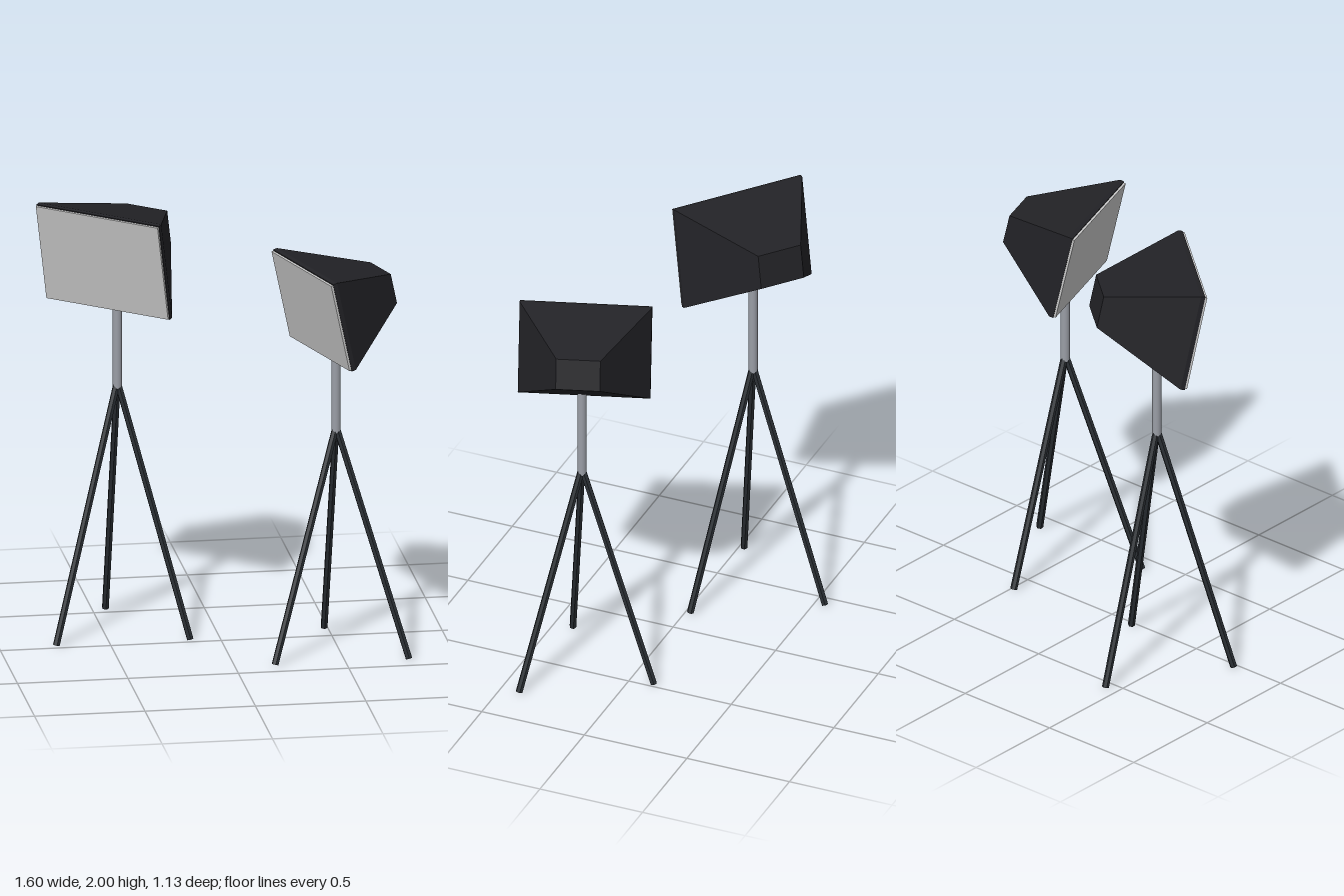
import * as THREE from 'three';

const dark = new THREE.MeshStandardMaterial({ color: 0x222226, flatShading: true });
const legMat = new THREE.MeshStandardMaterial({ color: 0x2a2f34, flatShading: true });
const metal = new THREE.MeshStandardMaterial({ color: 0x9a9ea6 });
const cloth = new THREE.MeshStandardMaterial({ color: 0xcccccc });

function add(parent, name, geometry, material) {
  const mesh = new THREE.Mesh(geometry, material);
  mesh.name = name;
  parent.add(mesh);
  return mesh;
}

// Straight round bar between two points
function bar(parent, name, from, to, radius, sides, material) {
  const dir = to.clone().sub(from);
  const mesh = add(parent, name, new THREE.CylinderGeometry(radius, radius, dir.length(), sides), material);
  mesh.position.copy(from).add(to).multiplyScalar(0.5);
  mesh.quaternion.setFromUnitVectors(new THREE.Vector3(0, 1, 0), dir.normalize());
}

// Box whose back end shrinks to a third, front at z = 0
function taperedBox(w, h, d) {
  const g = new THREE.BoxGeometry(w, h, d).translate(0, 0, -d / 2);
  const p = g.attributes.position;
  for (let i = 0; i < p.count; i++) {
    if (p.getZ(i) < -d / 2) p.setXY(i, p.getX(i) / 3, p.getY(i) / 3);
  }
  g.computeVertexNormals();
  return g;
}

// Softbox: diffuser, rim and tapered hood, facing local +z
function softbox(w, h, depth) {
  const head = new THREE.Group();
  head.name = 'softbox';
  add(head, 'diffuser', new THREE.BoxGeometry(w - 0.005, h - 0.01, 0.012), cloth).position.z = -0.006;
  add(head, 'rim', new THREE.BoxGeometry(w, h, 0.02), dark).position.z = -0.02;
  add(head, 'hood', taperedBox(w, h, depth - 0.03), dark).position.z = -0.03;
  return head;
}

function studioLight({ name, x, z, apex, center, yaw, pitch, size }) {
  const light = new THREE.Group();
  light.name = name;

  // Tripod stand
  const stand = new THREE.Group();
  stand.name = 'stand';
  stand.position.set(x, 0, z);
  const top = new THREE.Vector3(0, apex, 0);
  for (let i = 0; i < 3; i++) {
    const a = Math.PI + (i * Math.PI * 2) / 3;
    const foot = new THREE.Vector3(Math.sin(a) * 0.35, 0.005, Math.cos(a) * 0.35);
    bar(stand, 'leg', foot, top, 0.016, 6, legMat);
  }
  bar(stand, 'pole', new THREE.Vector3(0, apex - 0.03, 0), new THREE.Vector3(0, center[1], 0), 0.021, 16, metal);

  // Tilted head
  const head = softbox(...size);
  head.position.set(...center);
  head.rotation.set(pitch, yaw, 0, 'YXZ');
  light.add(stand, head);
  return light;
}

export function createModel() {
  const model = new THREE.Group();
  model.name = 'studioLights';
  model.add(
    studioLight({
      name: 'tallLight', x: -0.44, z: -0.2, apex: 1.175,
      center: [-0.525, 1.762, -0.1], yaw: -0.694, pitch: 0.2, size: [0.64, 0.472, 0.413],
    }),
    studioLight({
      name: 'shortLight', x: 0.483, z: 0.235, apex: 1.055,
      center: [0.362, 1.608, 0.27], yaw: -1.254, pitch: 0.22, size: [0.595, 0.43, 0.377],
    }),
  );
  return model;
}
